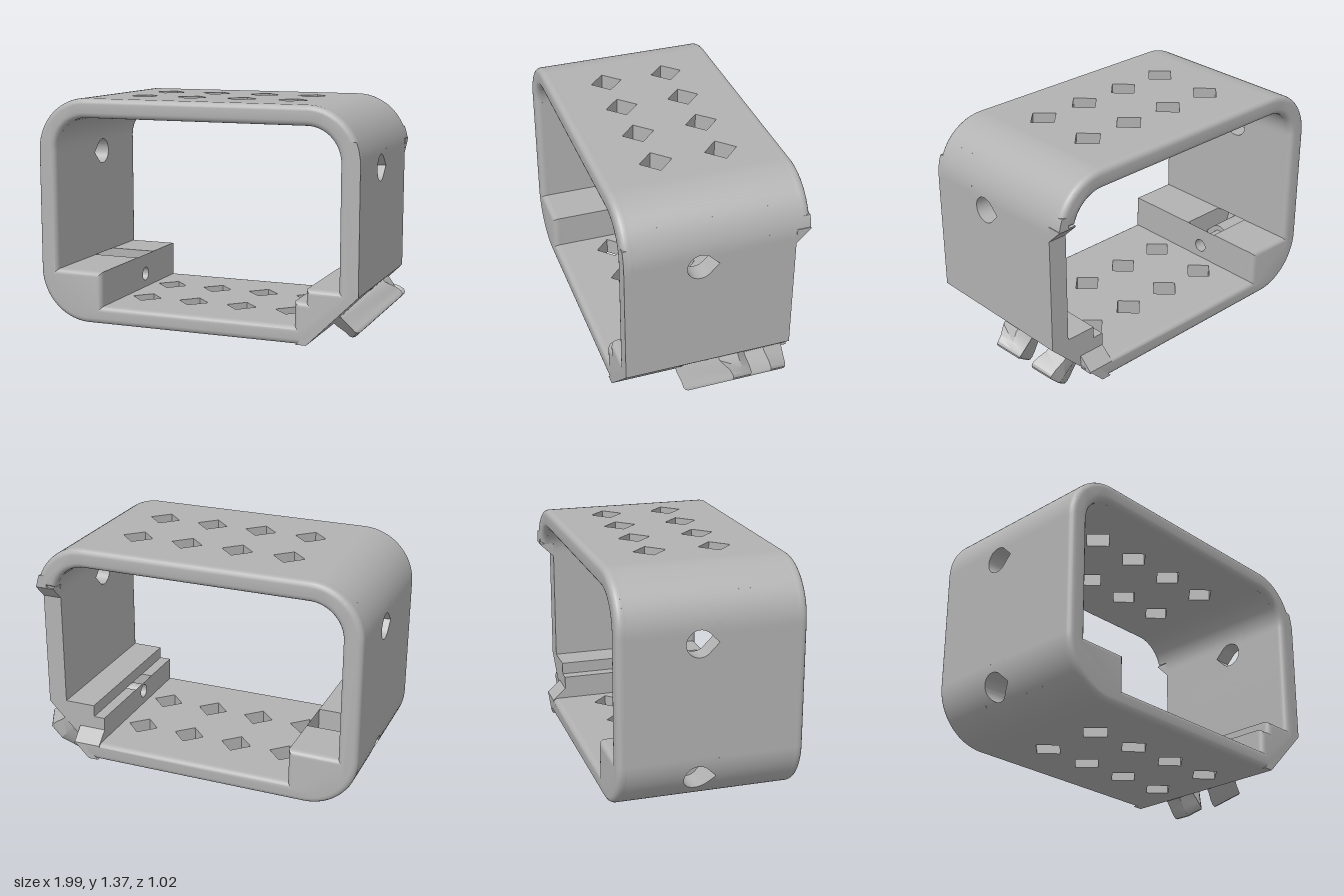
import * as THREE from 'three';
import { toCreasedNormals } from 'three/addons/utils/BufferGeometryUtils.js';

const Z = 0.508, ZB = 0.47, TOP = 1.385, CY = 1.085, R = 0.3, RI = 0.19;

export function createModel() {
  const group = new THREE.Group();
  const grey = new THREE.MeshStandardMaterial({ color: 0xb2b2b2, side: THREE.DoubleSide });
  grey.name = 'matteGrey';

  const add = (name, geo) => {
    const m = new THREE.Mesh(toCreasedNormals(geo, 0.5), grey);
    m.name = name;
    group.add(m);
    return m;
  };
  const poly = pts => new THREE.Shape(pts.map(p => new THREE.Vector2(p[0], p[1])));
  const extrude = (shape, depth) =>
    new THREE.ExtrudeGeometry(shape, { depth, bevelEnabled: false, curveSegments: 20 });

  // Skin between consecutive closed rings with equal point counts
  const loft = (rings) => {
    const n = rings[0].length, idx = [];
    for (let r = 0; r < rings.length - 1; r++) for (let i = 0; i < n; i++) {
      const a = r * n + i, b = r * n + (i + 1) % n;
      idx.push(a, b, a + n, b, b + n, a + n);
    }
    const g = new THREE.BufferGeometry();
    g.setAttribute('position', new THREE.Float32BufferAttribute(rings.flat(2), 3));
    g.setIndex(idx);
    return g;
  };

  // End walls described as outer and inner x for each height
  const arc = (r, d) => Math.sqrt(Math.max(0, r * r - d * d));
  const left = {
    out: y => -0.7 - arc(R, y > CY ? y - CY : y < 0.4 ? 0.4 - y : 0),
    in: y => y < 0.4 ? -0.61 : y > CY ? -0.7 - arc(RI, y - CY) : -0.89,
  };
  const right = {
    out: y => y < 0.385 ? y + 0.515 : 0.6 + arc(R, Math.max(0, y - CY)),
    in: y => y < 0.335 ? 0.545 : y < 0.405 ? 0.61 : 0.6 + arc(RI, Math.max(0, y - CY)),
  };
  const band = (name, fOut, fIn, y0, y1, z0, z1) => {
    const o = [], i = [], N = 14;
    for (let k = 0; k <= N; k++) {
      const y = y0 + (y1 - y0) * (1 - Math.cos(Math.PI * k / N)) / 2;
      const s = Math.min(y1 - 1e-5, Math.max(y0 + 1e-5, y));
      o.push([fOut(s), y]);
      i.unshift([fIn(s), y]);
    }
    add(name, extrude(poly([...o, ...i]), z1 - z0)).position.z = z0;
  };
  // Rows of wall, leaving an opening [h0, h1] where a hole tile goes
  const row = (name, side, y0, y1, zBack, hole) => {
    const spans = hole ? [[zBack, hole[0]], [hole[1], ZB]] : [[zBack, ZB]];
    for (const [a, b] of spans) band(name, side.out, side.in, y0, y1, a, b);
  };
  const lh = [-0.183, 0.037], rh = [-0.013, 0.207];
  row('leftCornerBlock', left, 0.1, 0.2, -ZB);
  row('leftCornerBlock', left, 0.2, 0.4, -ZB, lh);
  row('leftWall', left, 0.4, 0.915, -ZB);
  row('leftWall', left, 0.915, 1.135, -ZB, lh);
  row('leftWall', left, 1.135, 1.275, -ZB);
  row('leftWall', left, 1.275, TOP, -ZB);
  row('rightCornerBlock', right, 0.1, 0.2, -ZB);
  row('rightCornerBlock', right, 0.2, 0.335, -0.43, rh);
  row('rightCornerBlock', right, 0.335, 0.385, -0.43, rh);
  row('rightCornerBlock', right, 0.385, 0.405, -0.43);
  row('rightWall', right, 0.405, 0.915, -0.43);
  row('rightWall', right, 0.915, 1.135, -0.43, rh);
  row('rightWall', right, 1.135, 1.275, -ZB);
  row('rightWall', right, 1.275, TOP, -ZB);
  band('blockStep', () => 0.66, () => 0.61, 0.335, 0.385, rh[0], rh[1]);

  // Sharp outer edges of the right wall
  const lip = y => right.out(y) - 0.06;
  for (const [y0, y1] of [[0.1, 0.385], [0.385, 1.2]])
    band('frontEdge', right.out, lip, y0, y1, 0.44, Z);
  band('backEdge', right.out, lip, 0.1, 0.19, -Z, -0.44);
  band('backEdge', right.out, lip, 1.135, 1.2, -Z, -0.44);

  // Sloping ends of the cut-out in the back of the right wall
  const wedge = (pts, x0, x1) => {
    const g = extrude(poly(pts.map(p => [-p[0], p[1]])), x1 - x0).rotateY(Math.PI / 2);
    add('cutoutSlope', g).position.x = x0;
  };
  wedge([[-0.43, 1.05], [-0.43, 1.135], [-Z, 1.135], [-Z, 1.128]], 0.79, 0.9);
  wedge([[-0.43, 0.26], [-0.43, 0.18], [-Z, 0.18], [-Z, 0.19]], 0.545, 0.705);

  // Teardrop holes, the lower ones stepping down to a small screw hole
  const N = 48;
  const each = f => Array.from({ length: N }, (_, i) => f(i * 2 * Math.PI / N));
  const square = (z0, z1, y0, y1) => each(a => {
    const c = Math.cos(a), s = Math.sin(a), m = Math.max(Math.abs(c), Math.abs(s));
    return [z0 + (z1 - z0) * (c / m + 1) / 2, y0 + (y1 - y0) * (s / m + 1) / 2];
  });
  const drop = (zc, yc, r, tip) => each(a => {
    const c = Math.cos(a) * tip, s = Math.sin(a);
    const k = c > Math.SQRT1_2 ? r * Math.SQRT2 / (c + Math.abs(s)) : r;
    return [zc + k * c * tip, yc + k * s];
  });
  const circle = (zc, yc, r) => each(a => [zc + r * Math.cos(a), yc + r * Math.sin(a)]);
  const onX = (ring, f) => ring.map(([z, y]) => [f(y), y, z]);
  const mix = (a, b, t) => a.map((p, i) => [p[0] + (b[i][0] - p[0]) * t, p[1] + (b[i][1] - p[1]) * t]);
  const steps = [0, 0.25, 0.5, 0.75, 1];
  for (const [side, h, zc, tip, floor, yOut, yIn] of [
    [left, lh, -0.073, 1, -0.78, 0.4, 0.4], [right, rh, 0.097, -1, 0.68, 0.385, 0.335]]) {
    const up = square(h[0], h[1], 0.915, 1.135), hole = drop(zc, 1.025, 0.073, tip);
    add('sideHole', loft([
      ...steps.map(t => onX(mix(up, hole, t), side.out)),
      ...steps.map(t => onX(mix(hole, up, t), side.in))]));
    const low = square(h[0], h[1], 0.2, yOut - 1e-5), bore = drop(zc, 0.28, 0.073, tip);
    const screw = circle(zc, 0.28, 0.04), face = () => side.in(0.3);
    add('screwHole', loft([
      ...steps.map(t => onX(mix(low, bore, t), side.out)),
      onX(bore, () => floor), onX(screw, () => floor),
      onX(screw, face), onX(square(h[0], h[1], 0.2, yIn), face)]));
  }

  // Top and bottom panels with diamond holes
  const panel = (name, x0, x1, y0, y1) => {
    const s = poly([[x0, -ZB], [x1, -ZB], [x1, ZB], [x0, ZB]]), d = 0.09;
    for (const x of [-0.48, -0.182, 0.116, 0.414]) for (const z of [-0.185, 0.177])
      s.holes.push(poly([[x - d, z], [x, z + d], [x + d, z], [x, z - d]]));
    add(name, extrude(s, y1 - y0).rotateX(Math.PI / 2)).position.y = y1;
  };
  panel('topPanel', -0.7, 0.6, 1.275, TOP);
  panel('bottomPanel', -0.61, 0.545, 0.1, 0.2);

  // Rounded rims: a full ring in front, an open one behind
  const rim = (name, shape, z) => add(name, new THREE.ExtrudeGeometry(shape, {
    depth: 0.02, bevelThickness: 0.03, bevelSize: 0.03, bevelOffset: -0.03,
    bevelSegments: 4, curveSegments: 20 })).position.z = z;
  const H = Math.PI / 2;
  const front = new THREE.Shape();
  front.moveTo(-0.7, 0.1).lineTo(0.615, 0.1).lineTo(0.9, 0.385).lineTo(0.9, CY);
  front.absarc(0.6, CY, R, 0, H).lineTo(-0.7, TOP);
  front.absarc(-0.7, CY, R, H, 2 * H).lineTo(-1, 0.4);
  front.absarc(-0.7, 0.4, R, 2 * H, 3 * H);
  const opening = new THREE.Path();
  opening.moveTo(-0.61, 0.2).lineTo(0.545, 0.2).lineTo(0.545, 0.335).lineTo(0.61, 0.335);
  opening.lineTo(0.61, 0.405).lineTo(0.79, 0.405).lineTo(0.79, CY);
  opening.absarc(0.6, CY, RI, 0, H).lineTo(-0.7, 1.275);
  opening.absarc(-0.7, CY, RI, H, 2 * H).lineTo(-0.89, 0.4).lineTo(-0.61, 0.4);
  front.holes.push(opening);
  rim('frontRim', front, Z - 0.05);

  const back = new THREE.Shape();
  back.moveTo(-0.7, 0.1).lineTo(0.615, 0.1).lineTo(0.705, 0.19).lineTo(0.69, 0.2);
  back.lineTo(-0.61, 0.2).lineTo(-0.61, 0.4).lineTo(-0.89, 0.4).lineTo(-0.89, CY);
  back.absarc(-0.7, CY, RI, 2 * H, H, true).lineTo(0.6, 1.275);
  back.absarc(0.6, CY, RI, H, 0.266, true);
  back.absarc(0.6, CY, R, 0.168, H).lineTo(-0.7, TOP);
  back.absarc(-0.7, CY, R, H, 2 * H).lineTo(-1, 0.4);
  back.absarc(-0.7, 0.4, R, 2 * H, 3 * H);
  rim('backRim', back, -Z + 0.03);

  // Two slanted hooks on the chamfered corner; points are (z, distance along chamfer)
  const hook = (name, base, top) => {
    const c = [0, 1].map(k => top.reduce((s, p) => s + p[k], 0) / top.length);
    const mid = top.map(() => c), q = Math.SQRT1_2;
    const at = (ring, n) => ring.map(([z, v]) => [0.757 + q * (v + n), 0.243 + q * (v - n), z]);
    add(name, loft([at(base, -0.02), at(base, 0.02), at(mix(base, top, 0.8), 0.08), at(top, 0.115),
      at(mix(top, mid, 0.03), 0.13), at(mix(top, mid, 0.1), 0.138), at(mid, 0.138)]));
  };
  hook('middleHook',
    [[0.16, -0.08], [0.02, -0.19], [-0.19, 0.12], [-0.13, 0.19], [-0.02, 0.19]],
    [[0.14, -0.084], [-0.007, -0.183], [-0.2, 0.134], [-0.14, 0.172], [-0.07, 0.21]]);
  hook('backHook',
    [[-0.13, -0.14], [-0.2, -0.19], [-0.3, -0.19], [-0.42, -0.01], [-0.425, 0.07], [-0.31, 0.1]],
    [[-0.12, -0.149], [-0.2, -0.203], [-0.3, -0.203], [-0.418, -0.007], [-0.418, 0.086], [-0.31, 0.149]]);

  return group;
}
